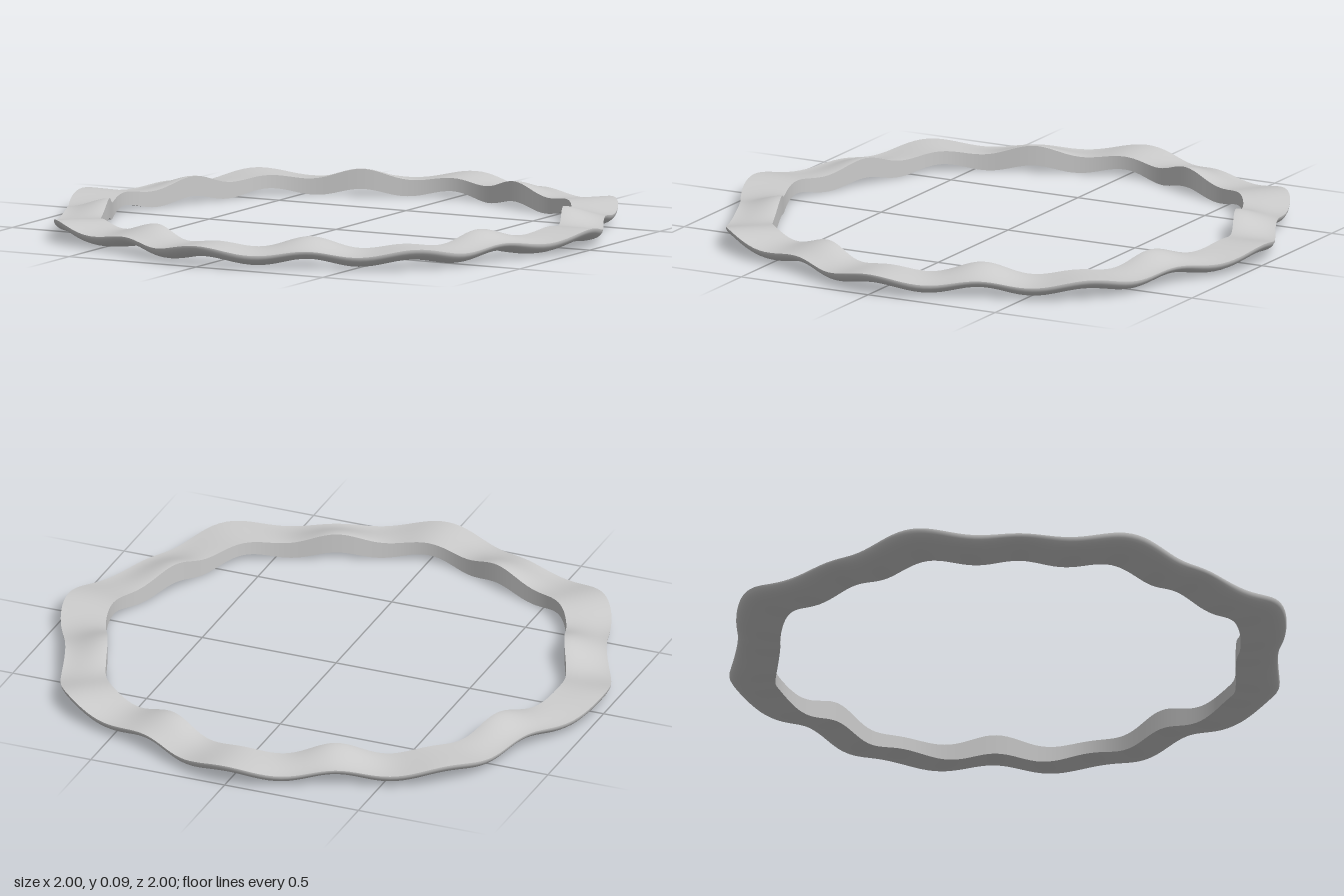
import * as THREE from 'three';
import { ParametricGeometry } from 'three/addons/geometries/ParametricGeometry.js';

// Radii and heights of the ring's edges at an angle: 8 scallops, 16 ripples
function edges(angle) {
  const lobe = Math.cos(8 * angle);
  const ripple = Math.cos(16 * angle);
  return {
    outer: 0.967 + 0.033 * lobe,
    inner: 0.81 + 0.022 * lobe,
    outerTop: 0.056 + 0.011 * ripple + 0.006 * lobe,
    innerTop: 0.07 + 0.012 * ripple - 0.012 * lobe,
    bottom: 0.012 + 0.012 * ripple,
  };
}

// Each section returns [radius, height] for v from 0 to 1
const sections = {
  // Rippled upper face, outer rim to inner rim
  topFace: (e, v) => [
    THREE.MathUtils.lerp(e.outer, e.inner, v),
    THREE.MathUtils.lerp(e.outerTop, e.innerTop, v * v * (3 - 2 * v)),
  ],
  // Upright inner wall, top to bottom
  innerWall: (e, v) => [e.inner, THREE.MathUtils.lerp(e.innerTop, e.bottom, v)],
  // Rounded underside sweeping up to the sharp outer rim
  underside: (e, v) => {
    const a = (v * Math.PI) / 2;
    return [
      e.inner + (e.outer - e.inner) * Math.sin(a),
      e.bottom + (e.outerTop - e.bottom) * Math.pow(1 - Math.cos(a), 1.4),
    ];
  },
};

export function createModel() {
  const group = new THREE.Group();
  group.name = 'wavyRing';
  const material = new THREE.MeshStandardMaterial({ color: 0xcccccc });

  for (const [name, section] of Object.entries(sections)) {
    const geometry = new ParametricGeometry((u, v, target) => {
      const angle = u * Math.PI * 2;
      const [r, y] = section(edges(angle), v);
      target.set(r * Math.sin(angle), y, r * Math.cos(angle));
    }, 256, 12);
    const mesh = new THREE.Mesh(geometry, material);
    mesh.name = name;
    group.add(mesh);
  }
  return group;
}
